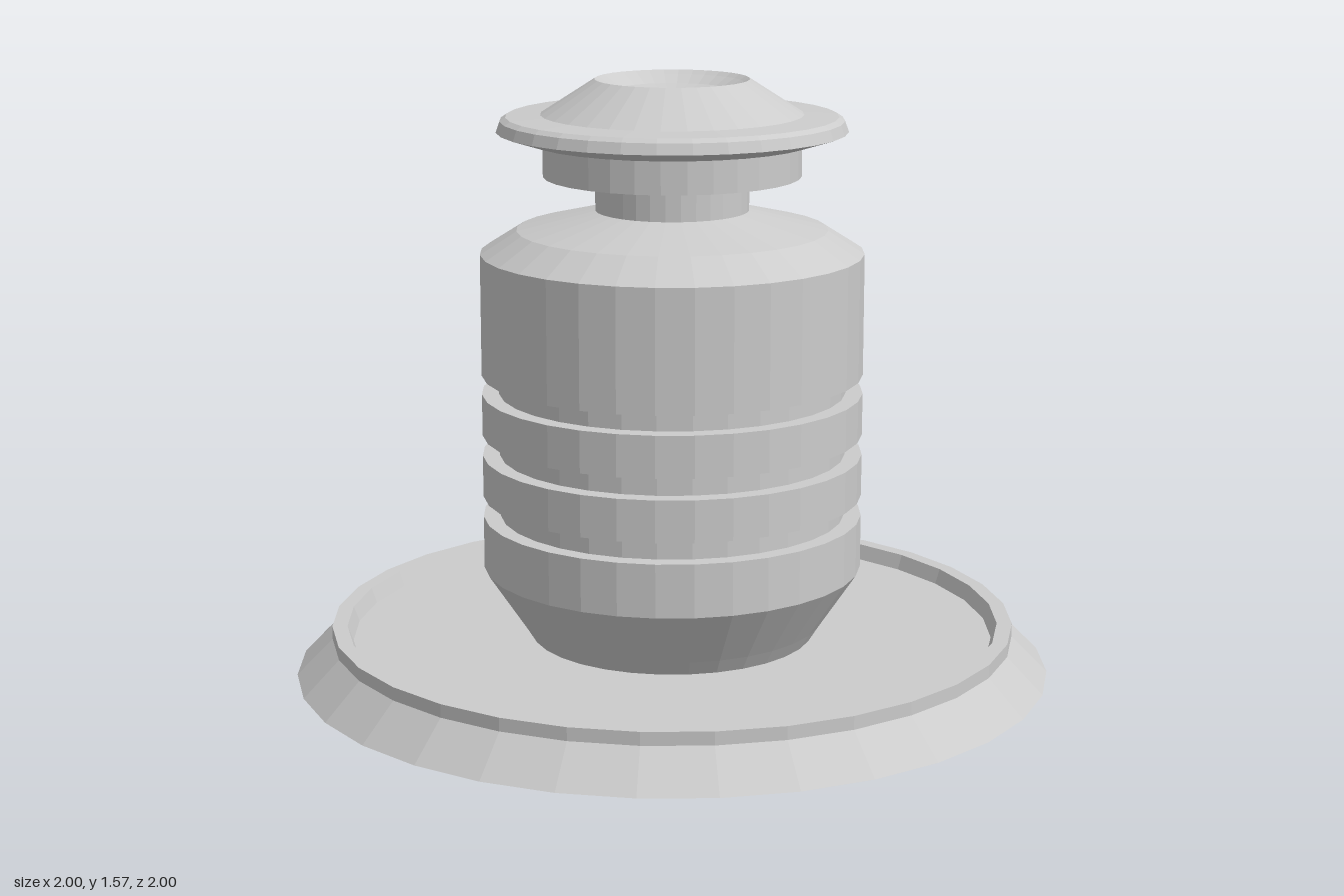
import * as THREE from 'three';

const SIDES = 32;

// Faceted turned part from a [radius, height] profile listed bottom to top
function turned(name, profile, material) {
  const points = profile.map(([r, y]) => new THREE.Vector2(r, y));
  const mesh = new THREE.Mesh(new THREE.LatheGeometry(points, SIDES), material);
  mesh.name = name;
  return mesh;
}

export function createModel() {
  const group = new THREE.Group();
  group.name = 'turnedPedestal';
  const solid = new THREE.MeshStandardMaterial({ color: 0xcccccc, flatShading: true });
  const sheet = new THREE.MeshStandardMaterial({ color: 0xcccccc, flatShading: true, side: THREE.DoubleSide });

  // Flared base: a thin shell, hollow below, with a raised rim round a flat floor
  group.add(turned('base', [
    [1, 0], [0.905, 0.095], [0.905, 0.13], [0.865, 0.13], [0.85, 0.09], [0, 0.09],
  ], sheet));

  // Barrel with three grooves cut into its side
  const barrel = [[0.375, 0.09], [0.4, 0.13], [0.5, 0.28]];
  for (const [low, high] of [[0.42, 0.475], [0.585, 0.64], [0.75, 0.8]]) {
    barrel.push([0.5, low], [0.455, low], [0.455, high], [0.5, high]);
  }
  barrel.push([0.5, 1.12], [0.405, 1.18], [0.2, 1.23]);
  group.add(turned('barrel', barrel, solid));

  // Narrow neck between barrel and cap
  group.add(turned('neck', [[0.2, 1.23], [0.2, 1.32]], solid));

  // Collar under the cap
  group.add(turned('collar', [[0.2, 1.32], [0.335, 1.32], [0.335, 1.41]], solid));

  // Cap: wide flange, sloping crown and a shallow dished top
  group.add(turned('cap', [
    [0.335, 1.41], [0.37, 1.41], [0.455, 1.437], [0.445, 1.465], [0.43, 1.475],
    [0.34, 1.48], [0.2, 1.57], [0.185, 1.56], [0.15, 1.54], [0.1, 1.53], [0, 1.53],
  ], solid));

  return group;
}
